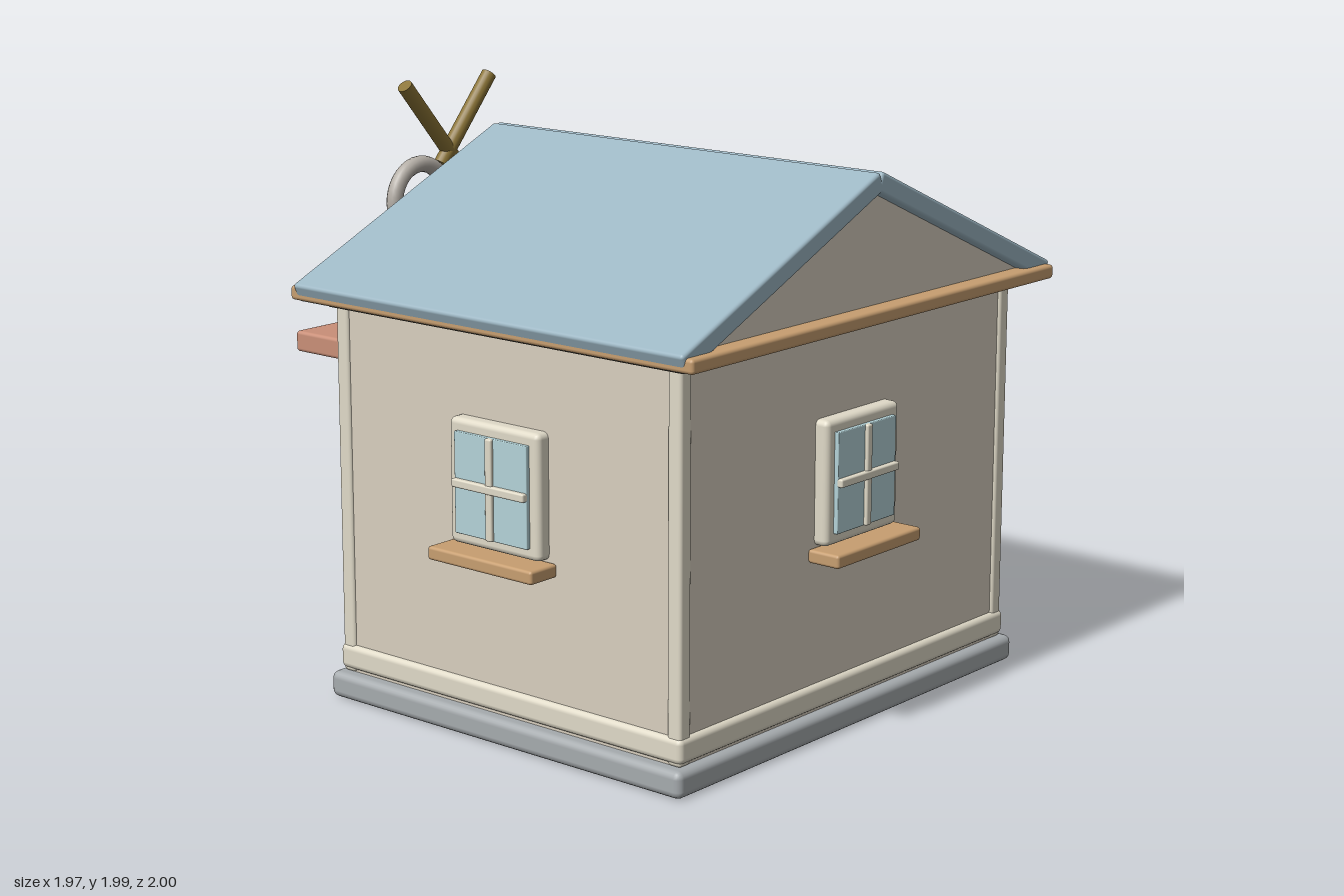
import * as THREE from 'three';
import { RoundedBoxGeometry } from 'three/addons/geometries/RoundedBoxGeometry.js';

const mat = (color) => new THREE.MeshStandardMaterial({ color });
const M = {
  wall: mat(0xd8cfbf), trim: mat(0xe0dac8), stone: mat(0xa6abae), tan: mat(0xc79e70),
  roof: mat(0x9db7c4), glass: mat(0xb4d3d8), door: mat(0xb08850), clay: mat(0xc98f78),
  brass: mat(0x8a7335), ring: mat(0xb4aea6), navy: mat(0x4d6978), red: mat(0xa8504c),
  pot: mat(0xc8956a), leaf: mat(0x86bf8c), emblem: mat(0xa8744f),
};
const Z = 0.145; // depth centre of the house
const BACK = -0.595; // shop front wall plane

function add(parent, name, geometry, material, x = 0, y = 0, z = 0) {
  const mesh = new THREE.Mesh(geometry, material);
  mesh.name = name;
  mesh.position.set(x, y, z);
  parent.add(mesh);
  return mesh;
}

// Softly rounded box given by its extents
function slab(parent, name, material, [x0, x1], [y0, y1], [z0, z1], r = 0.012) {
  const w = x1 - x0, h = y1 - y0, d = z1 - z0;
  const geo = new RoundedBoxGeometry(w, h, d, 2, Math.min(r, w * 0.45, h * 0.45, d * 0.45));
  return add(parent, name, geo, material, (x0 + x1) / 2, (y0 + y1) / 2, (z0 + z1) / 2);
}

// Straight round bar between two points
function bar(parent, name, material, a, b, r) {
  const d = b.clone().sub(a);
  const mesh = add(parent, name, new THREE.CylinderGeometry(r, r, d.length(), 20), material);
  mesh.position.copy(a).add(b).multiplyScalar(0.5);
  mesh.quaternion.setFromUnitVectors(new THREE.Vector3(0, 1, 0), d.normalize());
}

// Window facing local +z, wall plane at z = 0
function addWindow(parent, name, x, z, turn) {
  const g = new THREE.Group();
  g.name = name;
  slab(g, 'windowFrame', M.trim, [-0.193, 0.193], [0.65, 1.065], [-0.03, 0.04], 0.02);
  slab(g, 'windowPane', M.glass, [-0.155, 0.155], [0.69, 1.025], [0.03, 0.055], 0.003);
  slab(g, 'verticalBar', M.trim, [-0.014, 0.014], [0.69, 1.025], [0.045, 0.067], 0.006);
  slab(g, 'horizontalBar', M.trim, [-0.155, 0.155], [0.845, 0.873], [0.045, 0.072], 0.006);
  slab(g, 'windowSill', M.tan, [-0.225, 0.225], [0.6, 0.645], [-0.01, 0.113], 0.01);
  g.position.set(x, 0, z);
  g.rotation.y = turn;
  parent.add(g);
}

function addHouse(root) {
  const band = (name, m, hx, y, hz, r) => slab(root, name, m, [-hx, hx], y, [Z - hz, Z + hz], r);
  band('foundation', M.stone, 0.91, [0, 0.09], 0.765, 0.025);
  band('walls', M.wall, 0.862, [0.08, 1.35], 0.727, 0.005);
  band('skirting', M.trim, 0.88, [0.1, 0.185], 0.745, 0.02);
  band('lowerCornice', M.tan, 0.89, [1.338, 1.37], 0.76, 0.01);
  band('cornice', M.tan, 0.962, [1.362, 1.41], 0.855, 0.012);
  for (const sx of [-1, 1]) for (const sz of [-1, 1]) {
    const x = sx * 0.845, z = Z + sz * 0.71;
    slab(root, 'cornerPost', M.trim, [x - 0.027, x + 0.027], [0.09, 1.345], [z - 0.027, z + 0.027]);
  }

  // Gable block under the roof
  const tri = new THREE.Shape([[-0.88, 1.4], [0.88, 1.4], [0, 1.785]].map((p) => new THREE.Vector2(...p)));
  add(root, 'gable', new THREE.ExtrudeGeometry(tri, { depth: 1.58, bevelEnabled: false }), M.wall, 0, 0, Z - 0.79);

  // Two sloping roof slabs
  for (const s of [-1, 1]) {
    const slope = add(root, 'roofSlope', new RoundedBoxGeometry(1.06, 0.068, 1.656, 2, 0.012), M.roof, s * 0.479, 1.6, Z);
    slope.rotation.z = -s * 0.415;
  }
  addWindow(root, 'frontWindow', 0, 0.88, 0);
  addWindow(root, 'leftWindow', 0.87, Z, Math.PI / 2);
  addWindow(root, 'rightWindow', -0.87, Z, -Math.PI / 2);
  addWindow(root, 'shopWindow', -0.52, BACK, Math.PI);
}

function addShopFront(root) {
  // Door
  slab(root, 'doorFrame', M.trim, [-0.285, 0.285], [0.09, 0.98], [-0.632, -0.56], 0.02);
  slab(root, 'door', M.door, [-0.24, 0.24], [0.09, 0.92], [-0.662, -0.61]);
  slab(root, 'doorPanel', M.door, [-0.16, 0.16], [0.41, 0.73], [-0.675, -0.65], 0.008);
  add(root, 'doorKnob', new THREE.SphereGeometry(0.018, 16, 12), M.tan, 0.195, 0.5, -0.672);

  // Striped awning
  for (let i = 0; i < 6; i++) {
    const x = -0.78 + i * 0.26;
    slab(root, 'awningStripe', i % 2 ? M.trim : M.clay, [x, x + 0.26], [1.132, 1.203], [-0.885, -0.58]);
  }

  // Striped pole
  for (let i = 0; i < 6; i++) {
    add(root, 'poleBand', new THREE.CylinderGeometry(0.09, 0.09, 0.1185, 32), i % 2 ? M.navy : M.red,
      0.72, 0.649 + i * 0.1185, -0.91);
  }

  // Potted plants beside the door
  const potProfile = [[0, 0], [0.035, 0], [0.044, 0.08], [0.052, 0.08], [0.052, 0.112], [0.042, 0.112], [0, 0.1]]
    .map((p) => new THREE.Vector2(...p));
  for (const x of [-0.61, 0.61]) {
    add(root, 'flowerPot', new THREE.LatheGeometry(potProfile, 20), M.pot, x, 0.09, -0.645).material.side = THREE.DoubleSide;
    add(root, 'plant', new THREE.SphereGeometry(0.042, 18, 12), M.leaf, x, 0.21, -0.645);
  }
}

// Crossed blades with ring handles
function addScissors(root, name, z, blade, handle, s) {
  const g = new THREE.Group();
  g.name = name;
  for (const sx of [-1, 1]) {
    bar(g, 'blade', blade, new THREE.Vector3(sx * s.tip[0], s.tip[1], z), new THREE.Vector3(-sx * s.end[0], s.end[1], z), s.r);
    add(g, 'ringHandle', new THREE.TorusGeometry(s.R, s.tube, 14, 36), handle, sx * s.hub[0], s.hub[1], z);
  }
  root.add(g);
}

export function createModel() {
  const root = new THREE.Group();
  root.name = 'barberShop';
  addHouse(root);
  addShopFront(root);
  slab(root, 'signBoard', M.trim, [-0.18, 0.18], [1.41, 1.69], [-0.698, -0.63], 0.02);
  addScissors(root, 'signEmblem', -0.712, M.emblem, M.emblem,
    { tip: [0.04, 1.65], end: [0.028, 1.53], r: 0.008, R: 0.022, tube: 0.009, hub: [0.035, 1.51] });
  addScissors(root, 'roofScissors', -0.912, M.brass, M.ring,
    { tip: [0.212, 1.97], end: [0.04, 1.675], r: 0.027, R: 0.124, tube: 0.029, hub: [0.147, 1.566] });
  return root;
}
